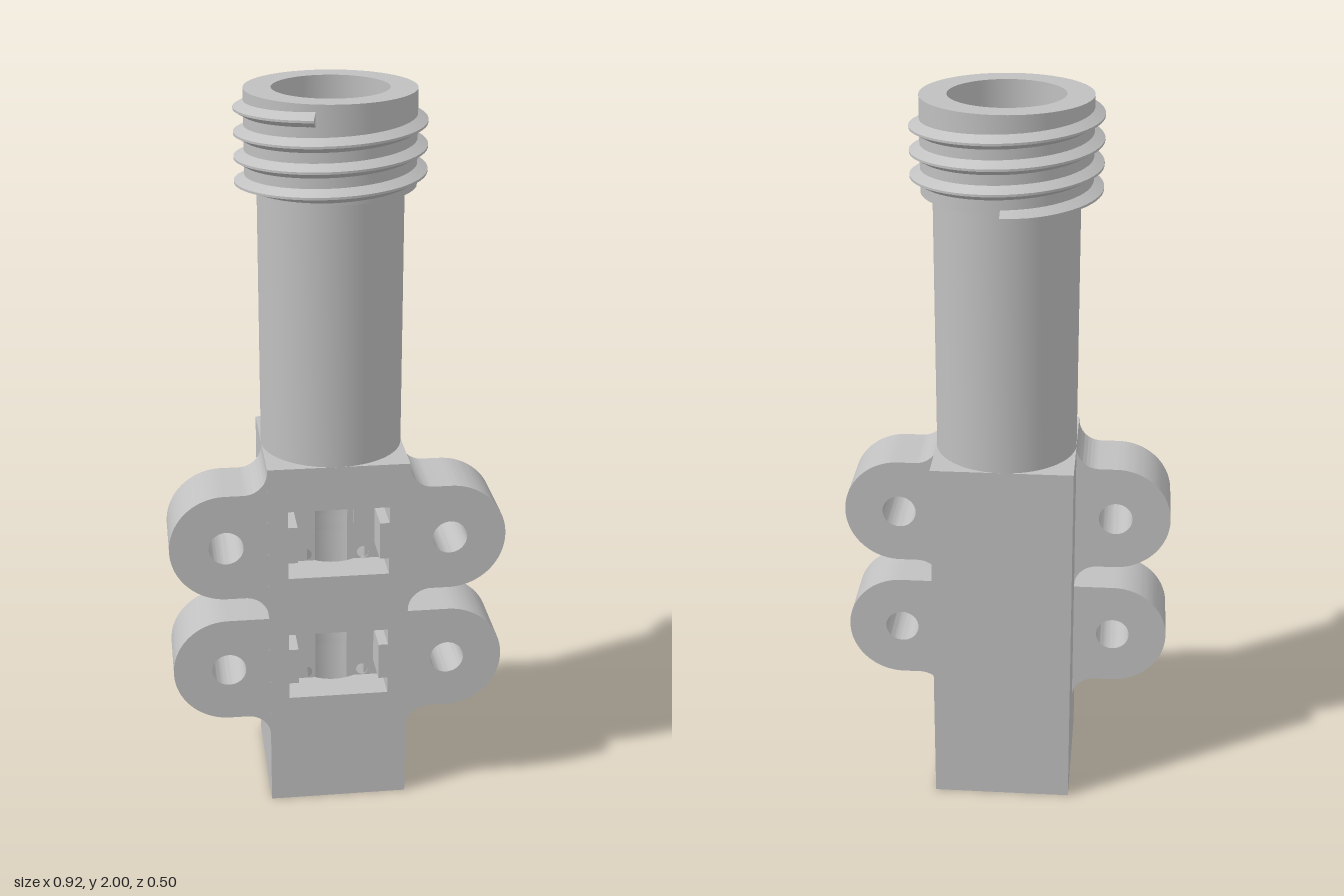
import * as THREE from 'three';
import { toCreasedNormals } from 'three/addons/utils/BufferGeometryUtils.js';

const grey = new THREE.MeshStandardMaterial({ color: 0xc0c0c0 });
grey.name = 'grey';

const H = 0.192;    // half width of the square block
const A = 0.085;    // half width of the square passage
const R = 0.103;    // radius of the round bore that widens it
const TOP = 1.03;   // top of the block

const polygon = pts => pts.map(([x, y]) => new THREE.Vector2(x, y));
const square = h => polygon([[-h, -h], [h, -h], [h, h], [-h, h]]);

function add(group, name, geometry) {
  const mesh = new THREE.Mesh(toCreasedNormals(geometry, 0.5), grey);
  mesh.name = name;
  group.add(mesh);
  return mesh;
}

// Extrude a plan drawn in (x, z) between two heights
function layer(group, name, shape, y0, y1) {
  const g = new THREE.ExtrudeGeometry(shape, { depth: y1 - y0, bevelEnabled: false, curveSegments: 8 });
  g.rotateX(Math.PI / 2).translate(0, y1, 0);
  return add(group, name, g);
}

// Outline of the square passage with a bulging arc on each given side, from corner to corner
function boreOutline(firstSide, sides) {
  const pts = [];
  const beta = Math.acos(A / R), corner = A * Math.SQRT2;
  const polar = (r, t) => pts.push(new THREE.Vector2(r * Math.cos(t), r * Math.sin(t)));
  for (let s = 0; s < sides; s++) {
    const mid = (firstSide + s) * Math.PI / 2;
    polar(corner, mid - Math.PI / 4);
    for (let i = 0; i <= 10; i++) polar(R, mid - beta + 2 * beta * i / 10);
  }
  if (sides < 4) polar(corner, (firstSide + sides) * Math.PI / 2 - Math.PI / 4);
  return pts;
}

function ringPlan(holePoints) {
  const s = new THREE.Shape(square(H));
  s.holes.push(new THREE.Path(holePoints));
  return s;
}

// Block plan with an opening to the front of half width w
function windowPlan(w) {
  return new THREE.Shape([
    ...polygon([[w, H], [H, H], [H, -H], [-H, -H], [-H, H], [-w, H], [-w, A]]),
    ...boreOutline(2, 3),
    new THREE.Vector2(w, A),
  ]);
}

function roundedSquare(h, r) {
  const p = new THREE.Path();
  p.absarc(h - r, h - r, r, 0, Math.PI / 2);
  p.absarc(r - h, h - r, r, Math.PI / 2, Math.PI);
  p.absarc(r - h, r - h, r, Math.PI, Math.PI * 1.5);
  p.absarc(h - r, r - h, r, Math.PI * 1.5, Math.PI * 2);
  return p.getPoints(5);
}

// Mounting ear on the +x (side = 1) or -x (side = -1) face
function ear(group, cy, topFillet, side) {
  const cx = 0.305, r = 0.153, f = 0.064, x0 = 0.17;
  const s = new THREE.Shape();
  s.moveTo(x0, cy - r - f);
  s.lineTo(H, cy - r - f);
  s.absarc(H + f, cy - r - f, f, Math.PI, Math.PI / 2, true);
  s.absarc(cx, cy, r, -Math.PI / 2, Math.PI / 2, false);
  if (topFillet) {
    s.absarc(H + f, cy + r + f, f, -Math.PI / 2, -Math.PI, true);
    s.lineTo(x0, cy + r + f);
  } else s.lineTo(x0, cy + r);
  const hole = new THREE.Path();
  hole.absarc(cx, cy, 0.047, 0, Math.PI * 2, true);
  s.holes.push(hole);
  const g = new THREE.ExtrudeGeometry(s, { depth: H - 0.001, bevelEnabled: false, curveSegments: 32 });
  // half turn about z keeps the winding; reflect the outline through its own height
  if (side < 0) {
    const p = g.attributes.position;
    for (let i = 0; i < p.count; i++) p.setX(i, -p.getX(i));
    for (let i = 0; i < p.count; i += 3) {
      const a = new THREE.Vector3().fromBufferAttribute(p, i);
      const b = new THREE.Vector3().fromBufferAttribute(p, i + 1);
      p.setXYZ(i, b.x, b.y, b.z);
      p.setXYZ(i + 1, a.x, a.y, a.z);
    }
  }
  add(group, side > 0 ? 'leftEar' : 'rightEar', g);
}

// Thin perforated floor on each side of a window's central slot
function windowFloor(group, cy, side) {
  const x0 = 0.054 * side, x1 = 0.138 * side;
  const s = new THREE.Shape(polygon([[x0, cy - 0.1], [x1, cy - 0.1], [x1, cy + 0.1], [x0, cy + 0.1]]));
  for (const d of [-0.081, 0.081]) {
    const hole = new THREE.Path();
    hole.absarc(0.08 * side, cy + d, 0.017, 0, Math.PI * 2, true);
    s.holes.push(hole);
  }
  const g = new THREE.ExtrudeGeometry(s, { depth: 0.0025, bevelEnabled: false, curveSegments: 10 });
  add(group, 'windowFloor', g.translate(0, 0, A));
}

// Helical ridge with a V profile, trimmed at the collar's lower face
function threadGeometry() {
  const pitch = 0.0635, start = -Math.PI * 6.5, end = 1.29, n = 220;
  const profile = [[0.215, -0.023], [0.25, -0.003], [0.25, 0.003], [0.215, 0.023]];
  const pos = [], idx = [];
  for (let i = 0; i <= n; i++) {
    const t = start + (end - start) * i / n;
    const y = 1.95 + pitch * t / (Math.PI * 2);
    for (const [r, dy] of profile) pos.push(-Math.cos(t) * r, Math.max(1.75, y + dy), Math.sin(t) * r);
  }
  for (let i = 0; i < n; i++) for (let k = 0; k < 3; k++) {
    const a = i * 4 + k, d = a + 4;
    idx.push(a, d, d + 1, a, d + 1, a + 1);
  }
  const e = n * 4;
  idx.push(0, 1, 2, 0, 2, 3, e, e + 2, e + 1, e, e + 3, e + 2);
  const g = new THREE.BufferGeometry();
  g.setAttribute('position', new THREE.Float32BufferAttribute(pos, 3));
  g.setIndex(idx);
  return g;
}

export function createModel() {
  const model = new THREE.Group();
  model.name = 'threadedHousing';

  // Square block, stacked in layers around the passage
  const block = new THREE.Group();
  block.name = 'block';
  model.add(block);
  const bore = () => ringPlan(boreOutline(0, 4));
  layer(block, 'bottomRim', ringPlan(square(0.115)), 0, 0.05);
  const centres = [0.431, 0.805];
  let y = 0.05;
  for (const c of centres) {
    layer(block, 'blockWall', bore(), y, c - 0.1);
    layer(block, 'windowLowerBar', windowPlan(0.138), c - 0.1, c - 0.053);
    layer(block, 'windowMiddle', windowPlan(0.112), c - 0.053, c + 0.053);
    layer(block, 'windowUpperBar', windowPlan(0.138), c + 0.053, c + 0.1);
    for (const side of [-1, 1]) windowFloor(block, c, side);
    y = c + 0.1;
  }
  layer(block, 'blockWall', bore(), y, 0.98);
  layer(block, 'blockTop', ringPlan(roundedSquare(A, 0.015)), 0.98, TOP);

  // Mounting ears
  const ears = new THREE.Group();
  ears.name = 'ears';
  model.add(ears);
  for (const side of [-1, 1]) {
    ear(ears, 0.806, true, side);
    ear(ears, 0.432, false, side);
  }

  // Hollow tube with a wider collar and its screw thread
  const profile = polygon([[0.192, TOP], [0.192, 1.75], [0.223, 1.75], [0.223, 2], [0.152, 2], [0.152, TOP]]);
  add(model, 'tubeAndCollar', new THREE.LatheGeometry(profile, 72));
  add(model, 'thread', threadGeometry());
  return model;
}
